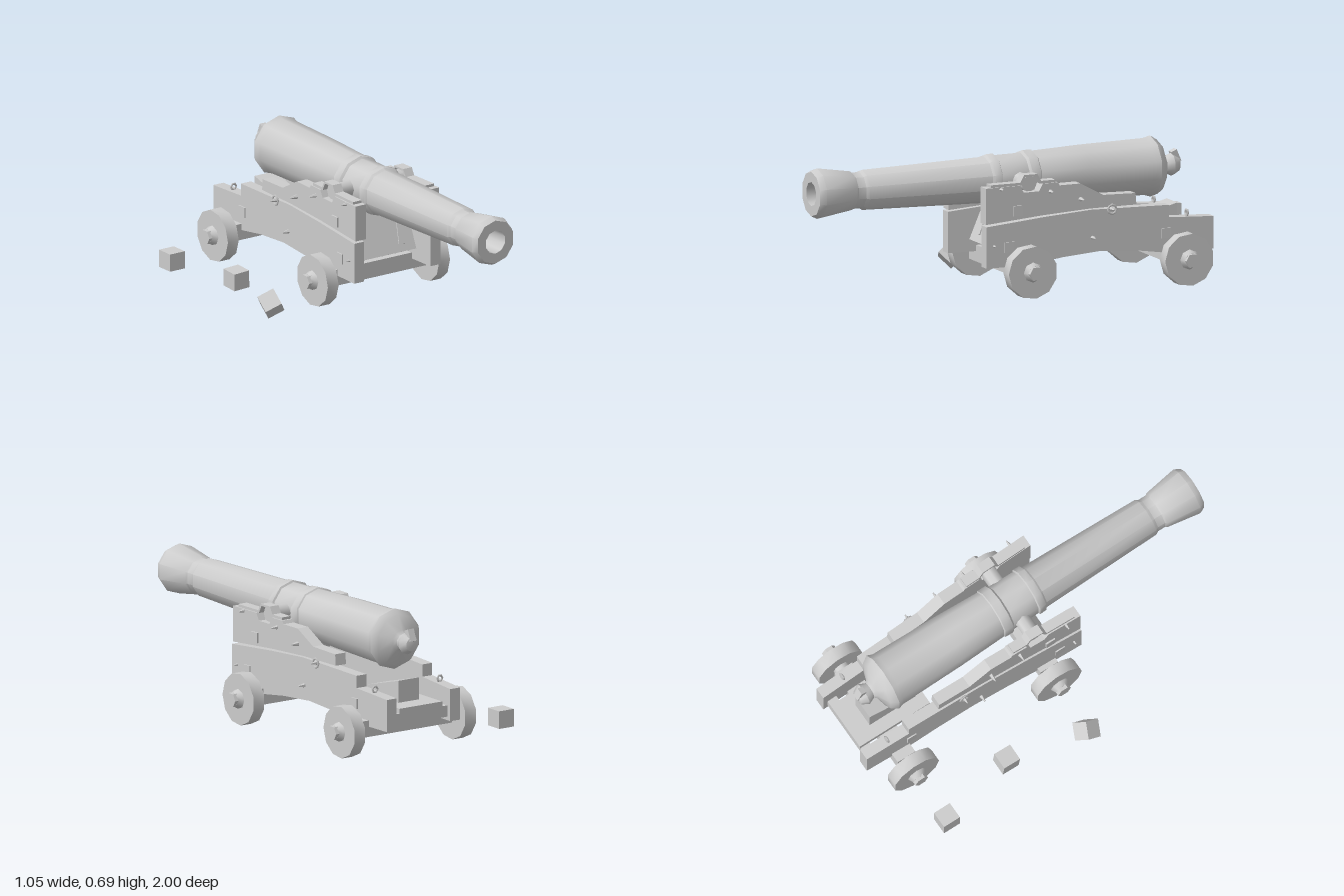
import * as THREE from 'three';
import { toCreasedNormals } from 'three/addons/utils/BufferGeometryUtils.js';

const CX = 0.12; // centre line of the gun and carriage
const AXIS = 0.535; // height of the barrel axis

export function createModel() {
  const group = new THREE.Group();
  const grey = new THREE.MeshStandardMaterial({ color: 0xcccccc });
  grey.name = 'plain grey';

  const add = (name, geo, x = 0, y = 0, z = 0) => {
    const mesh = new THREE.Mesh(geo, grey);
    mesh.name = name;
    mesh.position.set(x, y, z);
    group.add(mesh);
    return mesh;
  };
  const box = (name, w, h, d, x, y, z) => add(name, new THREE.BoxGeometry(w, h, d), x, y, z);
  const rod = (name, r1, r2, len, sides, x, y, z) =>
    add(name, toCreasedNormals(new THREE.CylinderGeometry(r1, r2, len, sides).rotateZ(-Math.PI / 2), 0.9), x, y, z);

  // Barrel: breech knob at the back, bore at the front, as [radius, z]
  const profile = [
    [0, -0.92], [0.035, -0.91], [0.055, -0.875], [0.04, -0.84], [0.055, -0.825],
    [0.125, -0.8], [0.148, -0.765], [0.138, -0.735], [0.132, -0.4], [0.122, -0.15],
    [0.128, -0.145], [0.128, -0.1], [0.117, -0.09], [0.115, 0.05], [0.124, 0.055],
    [0.122, 0.09], [0.112, 0.1], [0.097, 0.735], [0.088, 0.75], [0.088, 0.79],
    [0.095, 0.8], [0.122, 0.97], [0.108, 1], [0.058, 1], [0.055, 0.8], [0, 0.8],
  ].map(([r, z]) => new THREE.Vector2(r, z));
  const barrel = new THREE.LatheGeometry(profile, 10).rotateX(Math.PI / 2);
  add('barrel', toCreasedNormals(barrel, 0.75), CX, AXIS, 0);
  rod('trunnion', 0.04, 0.04, 0.42, 8, CX, 0.54, -0.04);
  const vent = box('ventBlock', 0.035, 0.06, 0.03, CX, 0.575, -0.895);
  vent.rotation.x = 0.4;

  // Side cheek cut from a [z, y] outline, closing in towards the back
  const cheek = (name, outline, side, offset, thick) => {
    const shape = new THREE.Shape(outline.map(([z, y]) => new THREE.Vector2(z, y)));
    const geo = new THREE.ExtrudeGeometry(shape, { depth: thick, bevelEnabled: false });
    geo.rotateY(-Math.PI / 2).translate(CX + side * offset + thick / 2, 0, 0);
    const p = geo.attributes.position;
    for (let i = 0; i < p.count; i++) p.setX(i, p.getX(i) + side * (p.getZ(i) - 0.2) * 0.03);
    geo.computeVertexNormals();
    add(name, geo);
  };
  const lower = [
    [0.2, 0.155], [0.2, 0.355], [-0.1, 0.38], [-0.35, 0.395], [-0.765, 0.385], [-0.765, 0.325],
    [-1, 0.312], [-1, 0.155], [-0.75, 0.155], [-0.6, 0.178], [-0.4, 0.192], [-0.2, 0.178], [-0.03, 0.155],
  ];
  const upper = [
    [0.2, 0.365], [0.2, 0.54], [0.02, 0.54], [0, 0.505], [-0.08, 0.505], [-0.1, 0.54], [-0.18, 0.54],
    [-0.19, 0.525], [-0.3, 0.525], [-0.42, 0.46], [-0.59, 0.455], [-0.595, 0.4], [-0.35, 0.4], [-0.1, 0.388],
  ];
  for (const s of [-1, 1]) {
    cheek('lowerCheek', lower, s, 0.222, 0.058);
    cheek('upperCheek', upper, s, 0.214, 0.06);

    // Iron strap arched over the trunnion
    const strap = [[0.17, 0.54], [0.17, 0.553], [0.015, 0.553], [-0.005, 0.588], [-0.075, 0.588], [-0.095, 0.553],
      [-0.17, 0.553], [-0.17, 0.54], [-0.09, 0.54], [-0.07, 0.578], [-0.01, 0.578], [0.01, 0.54]];
    cheek('trunnionStrap', strap, s, 0.212, 0.05);

    // Bolt plates and spikes on the outside of the cheeks
    for (const [y, z] of [[0.42, 0.03], [0.25, 0.08], [0.25, -0.75]])
      box('boltPlate', 0.01, 0.05, 0.05, CX + s * (y > 0.4 ? 0.242 : 0.252 + (z - 0.2) * 0.03), y, z);
    for (const [y, z] of [[0.53, 0.12], [0.5, -0.14], [0.45, -0.3], [0.39, -0.46], [0.26, -0.36], [0.26, 0.16]])
      rod('bolt', s > 0 ? 0.003 : 0.012, s > 0 ? 0.012 : 0.003, 0.04, 5, CX + s * 0.248, y, z);

    // Rope ring and rear eye bolt
    const ring = add('ropeRing', new THREE.TorusGeometry(0.022, 0.006, 4, 8), CX + s * 0.24, 0.39, -0.46);
    ring.rotation.y = Math.PI / 2;
    add('eyeBolt', new THREE.TorusGeometry(0.015, 0.006, 4, 6), CX + s * 0.19, 0.335, -0.87);

    // Front and rear wheels with hubs
    for (const z of [0.005, -0.81]) {
      rod('wheel', 0.127, 0.127, 0.063, 11, CX + s * 0.325, 0.138, z);
      rod('hub', s > 0 ? 0.034 : 0.05, s > 0 ? 0.05 : 0.034, 0.03, 8, CX + s * 0.369, 0.14, z);
      rod('axleEnd', 0.036, 0.036, 0.15, 6, CX + s * 0.325, 0.14, z);
      rod('innerHub', 0.04, 0.04, 0.05, 8, CX + s * 0.275, 0.14, z);
    }
  }

  // Axle beams and rear cross pieces
  for (const z of [0.005, -0.81]) box('axleBeam', 0.54, 0.08, 0.1, CX, 0.145, z);
  box('rearTransom', 0.34, 0.055, 0.05, CX, 0.2, -0.95);
  box('stoolBed', 0.25, 0.025, 0.4, CX, 0.24, -0.78);
  box('bedSupport', 0.36, 0.05, 0.05, CX, 0.205, -0.6);

  // Quoin wedge under the breech
  const wedge = new THREE.Shape([[-0.88, 0.25], [-0.62, 0.25], [-0.62, 0.29], [-0.88, 0.36]]
    .map(([z, y]) => new THREE.Vector2(z, y)));
  const quoin = new THREE.ExtrudeGeometry(wedge, { depth: 0.12, bevelEnabled: false });
  add('quoin', quoin.rotateY(-Math.PI / 2), CX + 0.06, 0, 0);

  // Leaning front transom with two iron straps
  const transom = new THREE.Group();
  transom.name = 'frontTransom';
  transom.position.set(CX, 0.215, 0.09);
  transom.rotation.x = -0.4;
  const board = new THREE.Mesh(new THREE.BoxGeometry(0.385, 0.25, 0.03).translate(0, 0.125, -0.015), grey);
  board.name = 'transomBoard';
  transom.add(board);
  for (const s of [-1, 1]) {
    const strip = new THREE.Mesh(new THREE.BoxGeometry(0.036, 0.2, 0.006), grey);
    strip.name = 'transomStrap';
    strip.position.set(s * 0.128, 0.135, 0.002);
    strip.rotation.z = -s * 0.13;
    transom.add(strip);
  }
  group.add(transom);

  // Blocky shot lying beside the carriage
  const shots = [[-0.48, 0.072, -0.8, 0, 0], [-0.39, 0.07, -0.4, 0.06, 0.05], [-0.475, 0.069, 0, 0.7, 0.6]];
  for (const [x, y, z, rx, rz] of shots) {
    const shot = box('shot', 0.086, 0.086, 0.09, x, y, z);
    shot.rotation.set(rx, 0, rz);
  }
  return group;
}
